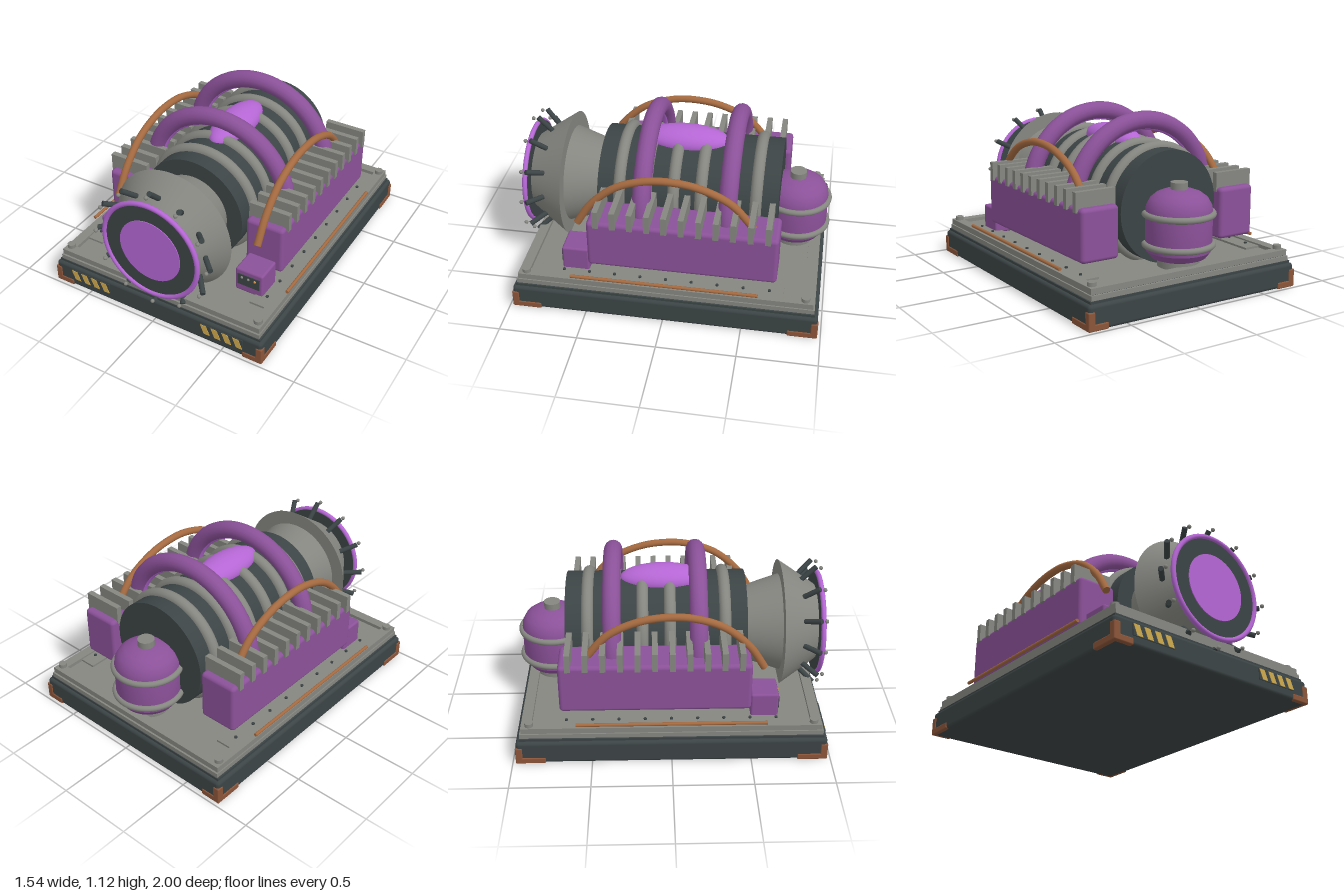
import * as THREE from 'three';
import { RoundedBoxGeometry } from 'three/addons/geometries/RoundedBoxGeometry.js';
import { toCreasedNormals } from 'three/addons/utils/BufferGeometryUtils.js';

const paint = (name, color) => {
  const m = new THREE.MeshStandardMaterial({ color });
  m.name = name;
  return m;
};

export function createModel() {
  const purple = paint('purple paint', 0x8b5199);
  const glow = paint('bright violet', 0xb566d4);
  const grey = paint('warm grey metal', 0x858680);
  const dark = paint('dark steel', 0x3c4445);
  const copper = paint('copper pipe', 0xa56a40);
  const bronze = paint('bronze corner', 0x8c5539);
  const yellow = paint('hazard yellow', 0xcfa94d);
  const amber = paint('amber lamp', 0xd98a3c);

  const model = new THREE.Group();
  model.name = 'generator';
  const AXIS = 0.565; // height of the drum axis

  const add = (name, geo, mat, x = 0, y = 0, z = 0) => {
    const m = new THREE.Mesh(geo, mat);
    m.name = name;
    m.position.set(x, y, z);
    model.add(m);
    return m;
  };
  const box = (w, h, d) => new THREE.BoxGeometry(w, h, d);
  const round = (w, h, d, r) => new RoundedBoxGeometry(w, h, d, 3, r);
  const cyl = (r, h, n = 24) => new THREE.CylinderGeometry(r, r, h, n);
  const ring = (R, r) => new THREE.TorusGeometry(R, r, 14, 64);
  const lathe = (pts, n = 48) => toCreasedNormals(
    new THREE.LatheGeometry(pts.map(p => new THREE.Vector2(...p)), n), 0.5);
  const sides = [-1, 1];

  // Base slab, seam, deck and raised rim
  add('base', round(1.53, 0.155, 1.95, 0.022), dark, 0, 0.0825, 0);
  add('baseSeam', box(1.49, 0.02, 1.91), dark, 0, 0.165, 0);
  add('deckLower', box(1.47, 0.03, 1.9), grey, 0, 0.19, 0);
  add('deckSeam', box(1.44, 0.008, 1.87), dark, 0, 0.205, 0);
  add('deckFloor', box(1.43, 0.016, 1.86), grey, 0, 0.214, 0);
  for (const s of sides) {
    add('rimSide', box(0.065, 0.037, 1.88), grey, s * 0.6975, 0.2265, 0);
    add('rimEnd', box(1.33, 0.037, 0.065), grey, 0, 0.2265, s * 0.9075);
  }

  // Corner bolts and brackets
  for (const sx of sides) for (const sz of sides) {
    add('cornerBolt', cyl(0.027, 0.05, 12), grey, sx * 0.695, 0.245, sz * 0.89);
    add('bracketPost', round(0.045, 0.115, 0.045, 0.008), bronze, sx * 0.7475, 0.0625, sz * 0.9575);
    add('bracketFront', round(0.135, 0.042, 0.035, 0.008), bronze, sx * 0.7025, 0.026, sz * 0.9625);
    add('bracketSide', round(0.035, 0.042, 0.19, 0.008), bronze, sx * 0.7525, 0.026, sz * 0.885);
  }

  // Hazard plates on the front of the base
  const stripe = new THREE.Shape([[-0.034, 0.033], [0.008, 0.033], [0.034, -0.033], [-0.008, -0.033]]
    .reverse().map(p => new THREE.Vector2(...p)));
  const stripeGeo = new THREE.ExtrudeGeometry(stripe, { depth: 0.003, bevelEnabled: false });
  for (const s of sides) {
    add('hazardPlate', box(0.3, 0.074, 0.008), dark, s * 0.49, 0.1, 0.976);
    for (let i = 0; i < 4; i++)
      add('hazardStripe', stripeGeo, yellow, s * 0.49 + (i - 1.5) * 0.076, 0.1, 0.98);
  }

  // Main drum with clamp rings
  add('drum', cyl(0.353, 1.16, 64), dark, 0, AXIS, -0.087).rotation.x = Math.PI / 2;
  for (let i = 0; i < 6; i++)
    add('drumRing', ring(0.35, 0.038), grey, 0, AXIS, 0.35 - i * 0.175);

  // Large coil hoops with a bright inner band
  for (const z of [0.176, -0.365]) {
    add('coilHoop', ring(0.497, 0.058), purple, 0, AXIS, z);
    add('coilBand', ring(0.452, 0.02), glow, 0, AXIS, z);
  }

  // Energy pod on top of the drum
  add('topPod', new THREE.SphereGeometry(1, 40, 24), glow, 0, 0.91, -0.04).scale.set(0.122, 0.09, 0.28);

  // Nozzle: neck, flared collar and front plate
  add('nozzle', lathe([[0, 0.48], [0.24, 0.48], [0.32, 0.725], [0.414, 0.725], [0.25, 0.965], [0, 0.965]], 64),
    grey, 0, AXIS, 0).rotation.x = Math.PI / 2;
  add('frontPlate', cyl(0.33, 0.02, 64), dark, 0, AXIS, 0.972).rotation.x = Math.PI / 2;
  add('frontRing', ring(0.333, 0.016), glow, 0, AXIS, 0.98);
  add('frontLens', cyl(0.215, 0.008, 64), glow, 0, AXIS, 0.983).rotation.x = Math.PI / 2;

  // Twelve slanted pins with round tips
  for (let i = 0; i < 12; i++) {
    const pin = new THREE.Group();
    pin.name = 'collarPin';
    pin.position.y = AXIS;
    pin.rotation.z = i * Math.PI / 6;
    const rod = new THREE.Mesh(cyl(0.017, 0.155, 12), dark);
    rod.name = 'pinRod';
    rod.position.set(0, 0.352, 0.9);
    rod.rotation.x = Math.PI / 4;
    const tip = new THREE.Mesh(new THREE.SphereGeometry(0.013, 12, 8), grey);
    tip.name = 'pinTip';
    tip.position.set(0, 0.398, 0.987);
    pin.add(rod, tip);
    model.add(pin);
  }

  // Rear tank with bands and cap
  add('tank', lathe([[0, 0.25], [0.1, 0.255], [0.17, 0.28], [0.2, 0.32], [0.205, 0.36], [0.205, 0.56],
    [0.2, 0.6], [0.175, 0.645], [0.135, 0.675], [0.08, 0.695], [0, 0.7]]), purple, 0, 0, -0.77);
  add('tankFoot', cyl(0.13, 0.06), grey, 0, 0.24, -0.77);
  add('tankCap', cyl(0.053, 0.06), grey, 0, 0.71, -0.77);
  for (const y of [0.36, 0.548])
    add('tankBand', ring(0.208, 0.02), grey, 0, y, -0.77).rotation.x = Math.PI / 2;

  // Arched pipe path, shared by both sides
  const arch = new THREE.CatmullRomCurve3([[0.54, 0.585], [0.69, 0.49], [0.83, 0.33], [0.895, 0.15],
    [0.908, 0], [0.88, -0.19], [0.785, -0.39], [0.62, -0.535]].map(([y, z]) => new THREE.Vector3(0, y, z)));
  const archGeo = new THREE.TubeGeometry(arch, 60, 0.024, 14);

  for (const s of sides) {
    // Radiator block with cooling fins
    add('radiator', round(0.26, 0.33, 1.2, 0.025), purple, s * 0.512, 0.47, -0.1);
    const fins = 11;
    for (let i = 0; i < fins; i++)
      add('fin', box(0.275, 0.122, 0.036), grey, s * 0.518, 0.669, 0.435 - i * 1.07 / (fins - 1));

    // Copper pipe over the radiator
    add('archPipe', archGeo, copper, s * 0.513, 0, 0);
    for (const t of [0, 1]) {
      const p = arch.getPoint(t);
      const cap = add('pipeEnd', new THREE.CircleGeometry(0.024, 14), copper, s * 0.513, p.y, p.z);
      const dir = arch.getTangent(t).multiplyScalar(t ? 1 : -1);
      cap.quaternion.setFromUnitVectors(new THREE.Vector3(0, 0, 1), dir);
    }

    // Control box with panel and lamps
    add('controlBox', round(0.192, 0.17, 0.175, 0.014), purple, s * 0.508, 0.305, 0.588);
    add('controlPanel', box(0.152, 0.08, 0.008), dark, s * 0.508, 0.316, 0.677);
    for (let i = 0; i < 3; i++)
      add('lamp', new THREE.SphereGeometry(0.009, 10, 8), i === 2 ? amber : grey,
        s * 0.508 + (i - 1) * 0.045, 0.336, 0.682);

    // Bolted floor strip and thin copper line
    add('floorStrip', box(0.11, 0.014, 1.5), grey, s * 0.612, 0.228, 0);
    for (let i = 0; i < 9; i++)
      add('stripBolt', cyl(0.01, 0.014, 8), dark, s * 0.63, 0.237, -0.66 + i * 0.165);
    add('sidePipe', cyl(0.011, 1.19, 10), copper, s * 0.73, 0.27, 0).rotation.x = Math.PI / 2;
  }
  return model;
}
